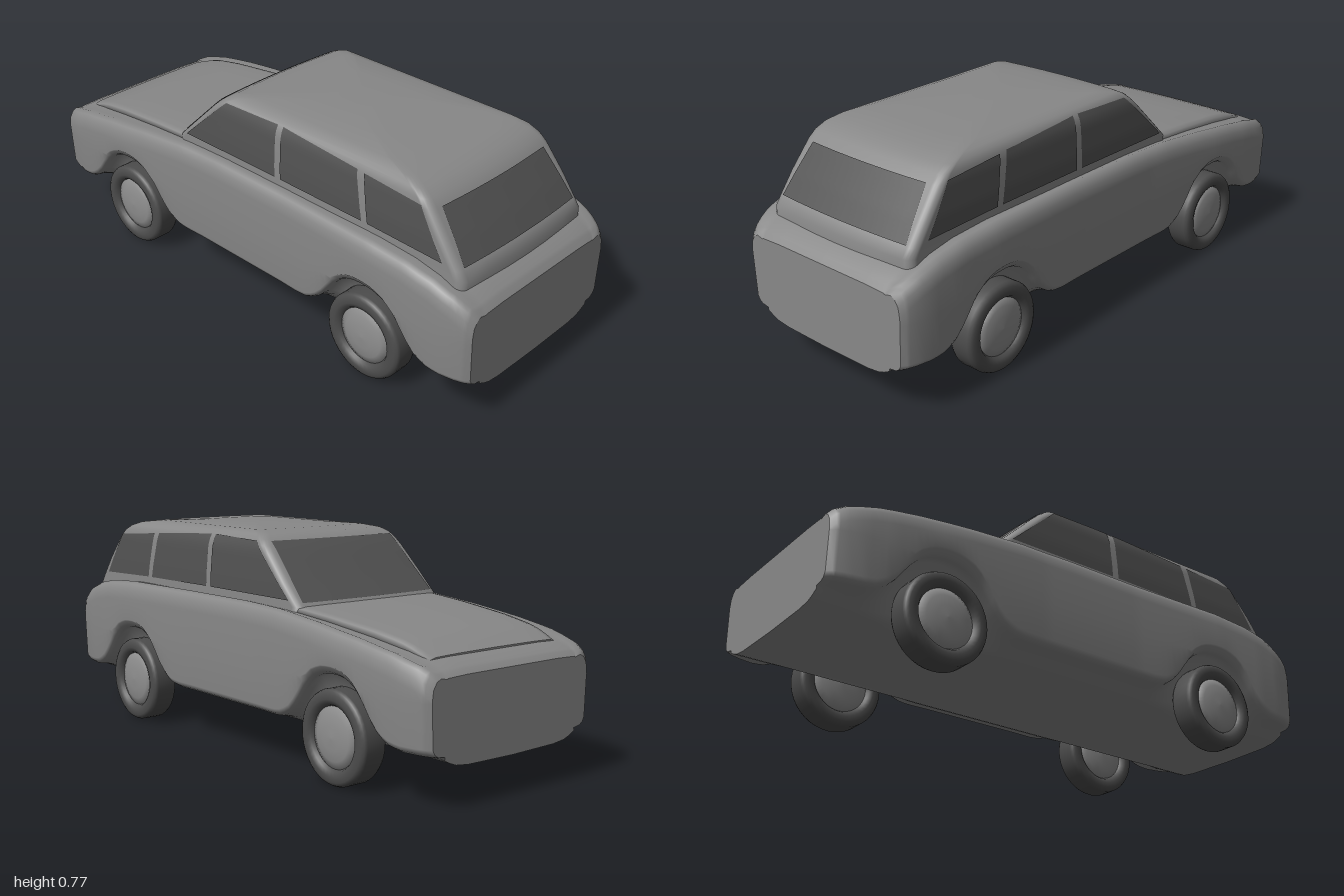
import * as THREE from 'three';

const paint = new THREE.MeshStandardMaterial({ color: 0x888888 });
paint.name = 'body grey';
const glass = new THREE.MeshStandardMaterial({ color: 0x525252, side: THREE.DoubleSide });
glass.name = 'dark glass';
const rubber = new THREE.MeshStandardMaterial({ color: 0x4c4c4c });
rubber.name = 'tyre rubber';
const metal = new THREE.MeshStandardMaterial({ color: 0x8e8e8e });
metal.name = 'hub metal';

// Linear lookup in rows sorted by their first entry
function lookup(rows, t, col = 1) {
  if (t <= rows[0][0]) return rows[0][col];
  for (let i = 1; i < rows.length; i++) {
    const a = rows[i - 1], b = rows[i];
    if (t <= b[0]) return a[col] + (b[col] - a[col]) * (t - a[0]) / (b[0] - a[0]);
  }
  return rows[rows.length - 1][col];
}

// Skin through closed rings, with flat caps on both ends
function loft(rings) {
  const n = rings[0].length, pos = rings.flat(2), idx = [];
  for (let i = 0; i < rings.length - 1; i++) {
    for (let j = 0; j < n; j++) {
      const k = (j + 1) % n, a = i * n + j, c = i * n + k;
      idx.push(a, a + n, c, c, a + n, c + n);
    }
  }
  [rings[0], rings[rings.length - 1]].forEach((ring, end) => {
    const base = pos.length / 3;
    pos.push(...ring.flat());
    const mid = [0, 1, 2].map(c => ring.reduce((s, p) => s + p[c], 0) / n);
    pos.push(...mid);
    for (let j = 0; j < n; j++) {
      const a = base + j, b = base + (j + 1) % n;
      idx.push(base + n, end ? b : a, end ? a : b);
    }
  });
  const geo = new THREE.BufferGeometry();
  geo.setAttribute('position', new THREE.Float32BufferAttribute(pos, 3));
  geo.setIndex(idx);
  geo.computeVertexNormals();
  return geo;
}

// Mirror a half section [z, y], listed from top centre to bottom centre
function section(x, half) {
  const inner = half.slice(1, -1).reverse();
  return [...half.map(([z, y]) => [x, y, -z]), ...inner.map(([z, y]) => [x, y, z])];
}

// Body curves along x: shoulder height, half width, wheel arch lift by distance
const shoulder = [[-1, .4], [-.985, .415], [-.95, .432], [-.85, .458], [-.7, .482], [-.5, .506],
  [-.3, .524], [-.1, .53], [.6, .53], [.75, .521], [.85, .503], [.93, .475], [.98, .445], [1, .42]];
const halfWidth = [[-1, .342], [-.985, .357], [-.96, .368], [-.9, .379], [-.8, .385], [-.6, .385],
  [-.2, .372], [.2, .372], [.6, .385], [.8, .385], [.9, .379], [.96, .368], [.985, .357], [1, .345]];
const archLift = [[0, .185], [.05, .18], [.1, .16], [.14, .12], [.18, .065], [.22, .025], [.26, .006], [.3, 0]];
const axles = [-.592, .585];

function bodyGeometry() {
  const rings = [], stations = [-1, -.985];
  for (let i = 1; i < 80; i++) stations.push(-1 + i / 40);
  stations.push(.985, 1);
  for (const x of stations) {
    const s = lookup(shoulder, x), w = lookup(halfWidth, x);
    const lift = Math.max(...axles.map(a => lookup(archLift, Math.abs(x - a))));
    const e = .175 + lift;
    rings.push(section(x, [
      [0, s], [.2, s], [.28, s - .003], [w - .06, s - .006], [w - .035, s], [w - .018, s - .009],
      [w - .005, s - .03], [w, s - .065], [w - .001, Math.max(.33, e + .025)],
      [w - .006, e + .02], [w - .014, e + .005], [w - .028, e - .004], [w - .055, e - .008],
      [.288, .157 + lift * .6], [.265, .145 + lift * .15], [.24, .136], [.19, .13], [0, .127],
    ]));
  }
  return loft(rings);
}

// Raised bonnet panel
function bonnetGeometry() {
  const rings = [];
  for (let i = 0; i <= 16; i++) {
    const t = i / 16, x = -.92 + t * .575;
    const s = lookup(shoulder, x), w = .28 + .033 * Math.sqrt(t);
    const h = .006 + .014 * Math.min(1, t * 5) - .008 * Math.max(0, t - .4);
    rings.push(section(x, [[0, s + h], [w * .6, s + h - .001], [w - .03, s + h - .003],
      [w - .008, s + h - .008], [w, s - .012], [0, s - .03]]));
  }
  return loft(rings);
}

// Cabin rows: height, front x, rear x, half width
const cabin = [[.44, -.37, .94, .32], [.5, -.37, .94, .317], [.53, -.37, .92, .316],
  [.6, -.298, .87, .314], [.69, -.207, .8, .307], [.715, -.18, .775, .302], [.735, -.155, .74, .293],
  [.75, -.125, .69, .275], [.76, -.06, .6, .24], [.766, .05, .45, .15], [.768, .15, .3, .05]];
const bow = .014;

function cabinGeometry() {
  return loft(cabin.map(([y, xf, xr, w]) => {
    const r = .03, ring = [], turn = [[xf + r, w - r, 90], [xf + r, r - w, 180],
      [xr - r, r - w, 270], [xr - r, w - r, 0]];
    turn.forEach(([cx, cz, deg], k) => {
      for (let i = 0; i <= 5; i++) {
        const a = THREE.MathUtils.degToRad(deg + i * 18);
        ring.push([cx + r * Math.cos(a), y, cz + r * Math.sin(a)]);
      }
      // Extra points across the bowed front and rear faces
      const [, nz] = turn[(k + 1) % 4];
      if (k % 2 === 0) {
        for (let i = 1; i < 6; i++) ring.push([k ? xr : xf, y, cz + (nz - cz) * i / 6]);
      }
    });
    return ring.map(([x, h, z]) => {
      const b = bow * (z / w) ** 2;
      return [x < (xf + xr) / 2 ? x + b : x - b, h, z];
    });
  }));
}

// Glass patch: four corners [u, y] (bottom pair, top pair) placed on the cabin by a rule
function pane([a, b, c, d], place) {
  const geo = new THREE.PlaneGeometry(1, 1, 12, 12), p = geo.attributes.position;
  for (let i = 0; i < p.count; i++) {
    const s = p.getX(i) + .5, t = p.getY(i) + .5;
    const [u, y] = [0, 1].map(k => (a[k] * (1 - s) + b[k] * s) * (1 - t) + (c[k] * (1 - s) + d[k] * s) * t);
    p.setXYZ(i, ...place(u, y));
  }
  geo.computeVertexNormals();
  return geo;
}

export function createModel() {
  const car = new THREE.Group();
  car.name = 'estateCar';
  const add = (name, geo, mat, parent = car) => {
    const mesh = new THREE.Mesh(geo, mat);
    mesh.name = name;
    parent.add(mesh);
    return mesh;
  };
  add('body', bodyGeometry(), paint);
  add('bonnet', bonnetGeometry(), paint);
  add('cabin', cabinGeometry(), paint);

  // Windscreen and rear window
  const endGlass = (col, sign) => (z, y) =>
    [lookup(cabin, y, col) + sign * (.004 - bow * (z / lookup(cabin, y, 3)) ** 2), y, z];
  add('windscreen', pane([[-.288, .543], [.288, .543], [-.268, .73], [.268, .73]], endGlass(1, -1)), glass);
  add('rearWindow', pane([[.284, .537], [-.284, .537], [.258, .692], [-.258, .692]], endGlass(2, 1)), glass);

  // Side windows
  const sideWindows = {
    frontWindow: [[-.31, .55], [.136, .552], [-.115, .73], [.132, .737]],
    middleWindow: [[.162, .552], [.526, .55], [.157, .737], [.492, .718]],
    rearQuarterWindow: [[.55, .55], [.85, .543], [.522, .715], [.752, .7]],
  };
  for (const [side, sign] of [['left', 1], ['right', -1]]) {
    for (const [name, corners] of Object.entries(sideWindows)) {
      add(`${side} ${name}`, pane(corners, (x, y) => [x, y, sign * (lookup(cabin, y, 3) + .003)]), glass);
    }
  }

  // Wheels
  const v = pts => pts.map(([r, h]) => new THREE.Vector2(r, h));
  const tyre = new THREE.LatheGeometry(v([[.1, -.032], [.107, -.044], [.122, -.05], [.14, -.048], [.15, -.042],
    [.155, -.032], [.155, .032], [.15, .042], [.14, .048], [.122, .05], [.107, .044], [.1, .032]]), 40);
  const hub = new THREE.LatheGeometry(v([[0, -.048], [.04, -.046], [.075, -.041], [.106, -.03],
    [.106, .03], [.075, .041], [.04, .046], [0, .048]]), 40);
  axles.forEach((x, i) => {
    for (const sign of [1, -1]) {
      const wheel = new THREE.Group();
      wheel.name = `${i ? 'rear' : 'front'}Wheel`;
      add('tyre', tyre, rubber, wheel);
      add('hubcap', hub, metal, wheel);
      wheel.rotation.x = Math.PI / 2;
      wheel.position.set(x, .155, sign * .324);
      car.add(wheel);
    }
  });
  return car;
}
